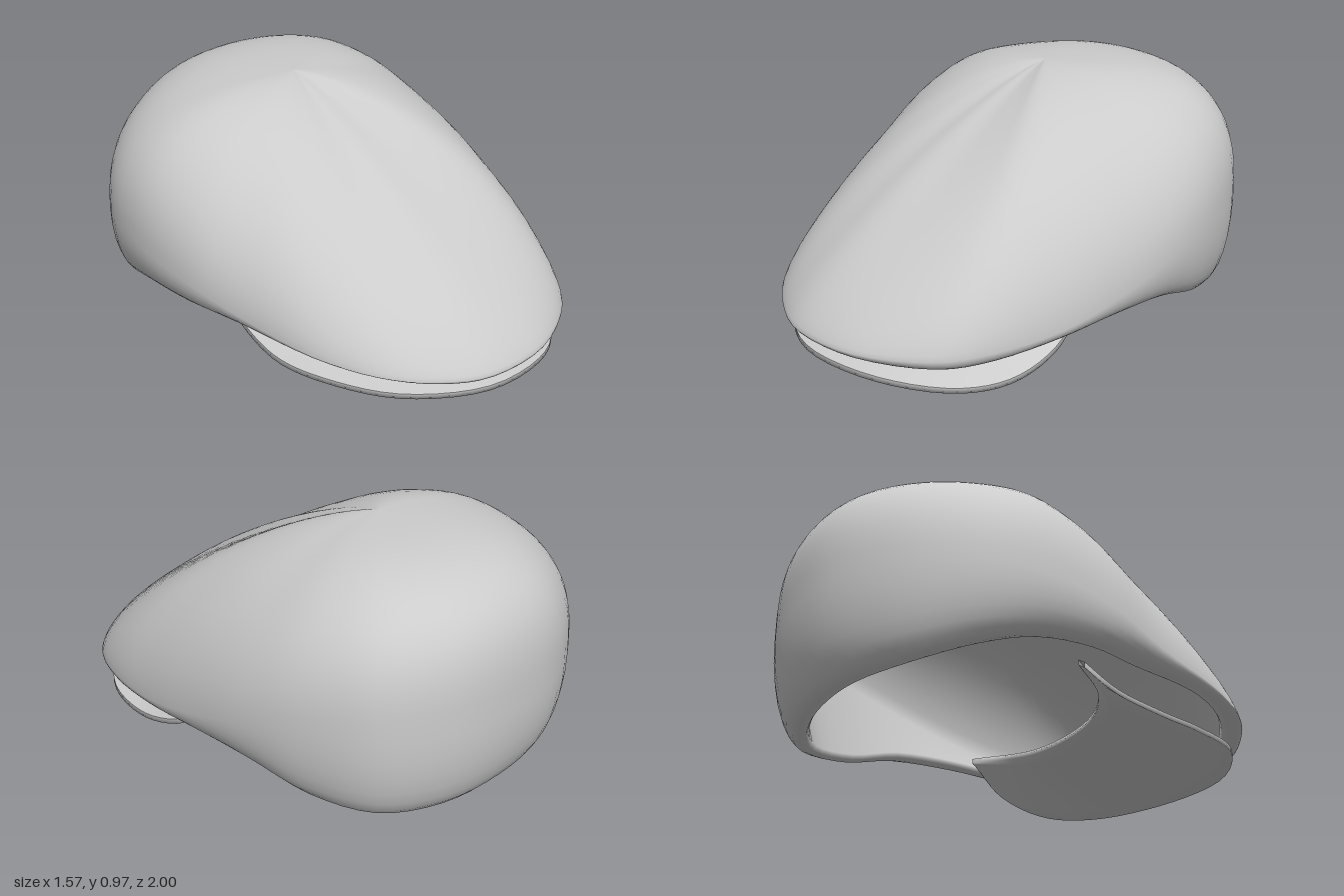
import * as THREE from 'three';

const V = (x, y, z) => new THREE.Vector3(x, y, z);
const SEG = 80;
const APEX = V(-0.03, 0.97, -0.25);

// Outline of the crown, anticlockwise from the front:
// x, y, z of the widest line, then hem height, hem inset, roundness of the section
const OUTLINE = [
  [0.17, 0.16, 1.0, 0.13, 0.06, 1.27], [0.45, 0.16, 0.92, 0.125, 0.06, 1.27],
  [0.68, 0.17, 0.72, 0.12, 0.06, 1.4], [0.76, 0.18, 0.5, 0.13, 0.06, 1.6],
  [0.78, 0.2, 0.22, 0.15, 0.07, 1.8], [0.77, 0.26, -0.05, 0.165, 0.08, 1.95],
  [0.73, 0.35, -0.35, 0.15, 0.09, 2.1], [0.64, 0.4, -0.62, 0.08, 0.1, 2.5],
  [0.47, 0.4, -0.86, 0.04, 0.11, 3.0], [0.2, 0.4, -0.98, 0.03, 0.12, 3.3],
  [-0.1, 0.4, -0.99, 0.04, 0.12, 3.3], [-0.4, 0.4, -0.91, 0.05, 0.12, 3.0],
  [-0.65, 0.4, -0.71, 0.07, 0.11, 2.6], [-0.78, 0.4, -0.45, 0.13, 0.11, 2.4],
  [-0.78, 0.39, -0.18, 0.19, 0.1, 2.4], [-0.7, 0.34, 0.1, 0.21, 0.08, 2.1],
  [-0.57, 0.27, 0.36, 0.21, 0.08, 1.8], [-0.42, 0.22, 0.65, 0.2, 0.06, 1.5],
  [-0.25, 0.19, 0.85, 0.18, 0.06, 1.35], [-0.05, 0.17, 0.96, 0.145, 0.06, 1.27],
];

// Skin a list of rows of points; closed joins the end of each row to its start
function loft(rows, closed) {
  const n = rows[0].length, index = [];
  for (let j = 0; j < rows.length - 1; j++) {
    for (let i = 0; i < (closed ? n : n - 1); i++) {
      const k = (i + 1) % n;
      const a = j * n + i, b = (j + 1) * n + i, c = (j + 1) * n + k, d = j * n + k;
      index.push(a, b, c, a, c, d);
    }
  }
  const geometry = new THREE.BufferGeometry().setFromPoints(rows.flat());
  geometry.setIndex(index);
  geometry.computeVertexNormals();
  return geometry;
}

// Section of the crown at one place on the outline, from apex over the hem to the lining
function crownSection(edge, hemY, inset, roundness) {
  const dir = V(edge.x - APEX.x, 0, edge.z - APEX.z);
  const len = dir.length();
  dir.normalize();
  const at = (r, y) => V(APEX.x + dir.x * r, y, APEX.z + dir.z * r);
  const dome = (t, scale, drop) => at(
    len * scale * Math.sin(t) ** (2 / roundness),
    edge.y - drop + (APEX.y - edge.y) * Math.max(0, Math.cos(t)) ** (2 / roundness));
  const points = [];
  for (let k = 0; k <= 20; k++) points.push(dome(k / 20 * Math.PI / 2, 1, 0));
  for (let k = 1; k <= 7; k++) {
    const t = k / 7 * Math.PI / 2;
    points.push(at(len - inset * (1 - Math.cos(t)), edge.y + (hemY - edge.y) * Math.sin(t)));
  }
  points.push(at(len - inset - 0.03, hemY + 0.005), at(len - inset - 0.04, hemY + 0.025));
  for (let k = 15; k >= 0; k--) points.push(dome(k / 16 * Math.PI / 2, 0.94, 0.03));
  return points;
}

function crownGeometry() {
  const closedCurve = (pts) => new THREE.CatmullRomCurve3(pts, true, 'catmullrom');
  const edge = closedCurve(OUTLINE.map((p) => V(p[0], p[1], p[2])));
  const shape = closedCurve(OUTLINE.map((p) => V(p[3], p[4], p[5])));
  const sections = [];
  for (let i = 0; i < SEG; i++) {
    const s = shape.getPoint(i / SEG);
    sections.push(crownSection(edge.getPoint(i / SEG), s.x, s.y, s.z));
  }
  return loft(sections[0].map((_, j) => sections.map((s) => s[j])), true);
}

// Thin curved plate between the outer edge and the edge that meets the head
function brimGeometry() {
  const outer = new THREE.CatmullRomCurve3([
    V(0.61, 0.18, 0.02), V(0.67, 0.08, 0.16), V(0.71, 0.025, 0.38), V(0.69, 0.04, 0.62),
    V(0.5, 0.075, 0.86), V(0.17, 0.09, 0.97), V(-0.15, 0.09, 0.86), V(-0.34, 0.075, 0.62),
    V(-0.44, 0.075, 0.4), V(-0.48, 0.12, 0.2), V(-0.5, 0.2, 0.06)]);
  const inner = new THREE.CatmullRomCurve3([
    V(0.6, 0.19, 0.0), V(0.42, 0.2, 0.22), V(0.1, 0.22, 0.32),
    V(-0.22, 0.22, 0.24), V(-0.49, 0.21, 0.04)]);
  const row = (v, drop) => Array.from({ length: 49 }, (_, i) => {
    const p = outer.getPoint(i / 48).lerp(inner.getPoint(i / 48), v);
    p.y -= drop;
    return p;
  });
  const rows = [];
  for (let k = 0; k <= 8; k++) rows.push(row(k / 8, 0));
  for (let k = 8; k >= 0; k--) rows.push(row(k / 8, 0.022));
  rows.push(row(0, 0));
  return loft(rows, false);
}

export function createModel() {
  const group = new THREE.Group();
  group.name = 'flatCap';
  const cloth = new THREE.MeshStandardMaterial({ color: 0xcccccc, side: THREE.DoubleSide });
  const add = (name, geometry) => {
    const mesh = new THREE.Mesh(geometry, cloth);
    mesh.name = name;
    group.add(mesh);
  };
  add('crown', crownGeometry());
  add('brim', brimGeometry());
  return group;
}
